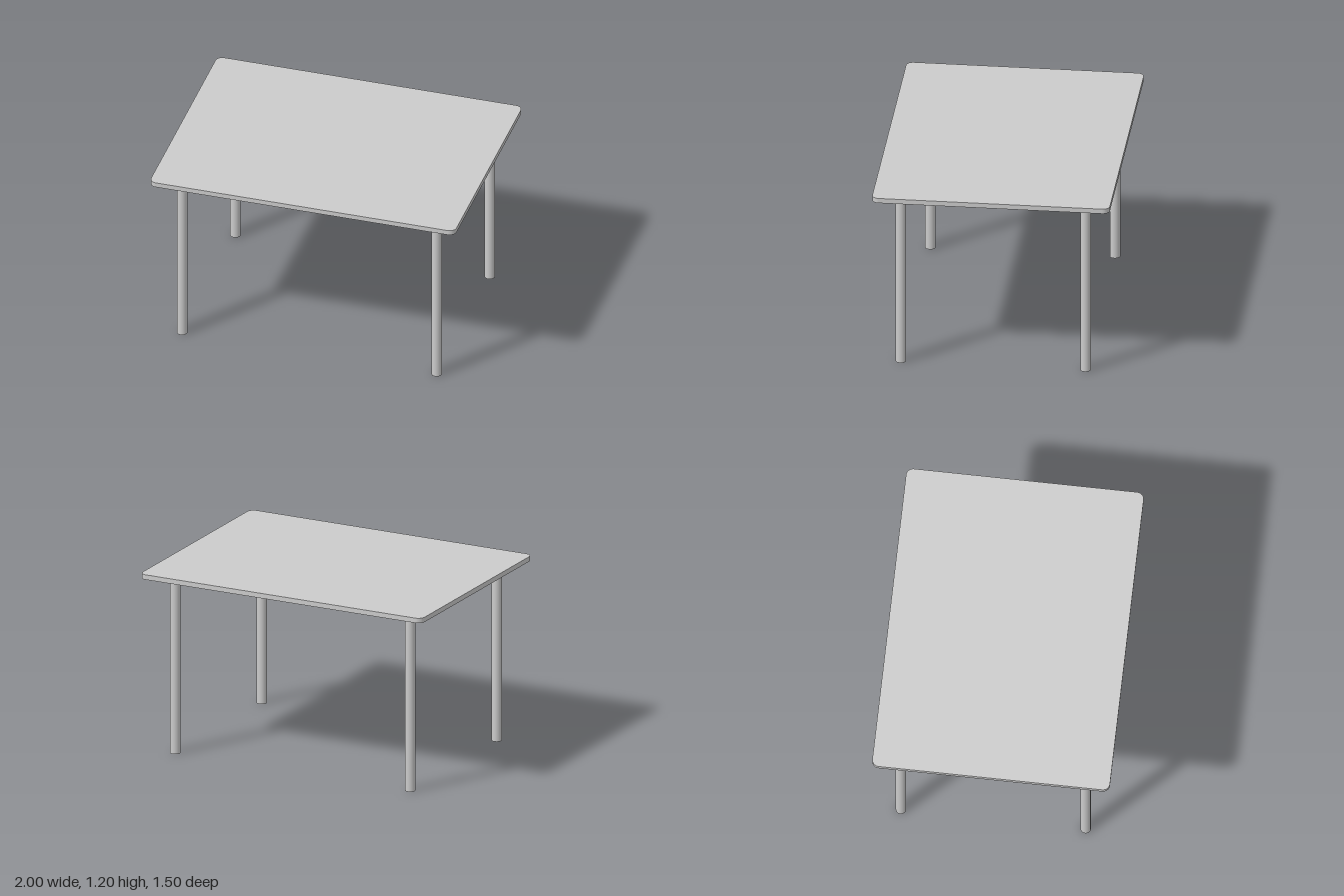
import * as THREE from 'three';

export function createModel() {
  const group = new THREE.Group();
  const material = new THREE.MeshStandardMaterial({ color: 0xcccccc });
  const height = 1.2, thickness = 0.032;
  const halfX = 1, halfZ = 0.75, corner = 0.045;

  // Table top: rounded rectangle, extruded and laid flat
  const outline = new THREE.Shape();
  outline.absarc(halfX - corner, halfZ - corner, corner, 0, Math.PI / 2);
  outline.absarc(-halfX + corner, halfZ - corner, corner, Math.PI / 2, Math.PI);
  outline.absarc(-halfX + corner, -halfZ + corner, corner, Math.PI, Math.PI * 1.5);
  outline.absarc(halfX - corner, -halfZ + corner, corner, Math.PI * 1.5, Math.PI * 2);
  outline.closePath();
  const topGeometry = new THREE.ExtrudeGeometry(outline, {
    depth: thickness, bevelEnabled: false, curveSegments: 12,
  });
  topGeometry.rotateX(-Math.PI / 2);
  const top = new THREE.Mesh(topGeometry, material);
  top.name = 'tableTop';
  top.position.y = height - thickness;
  group.add(top);

  // Four round legs, set in from the corners
  const legHeight = height - thickness;
  const legGeometry = new THREE.CylinderGeometry(0.033, 0.033, legHeight, 32);
  for (const [endName, sz] of [['front', 1], ['back', -1]]) {
    for (const [sideName, sx] of [['Left', 1], ['Right', -1]]) {
      const leg = new THREE.Mesh(legGeometry, material);
      leg.name = `${endName}${sideName}Leg`;
      leg.position.set(sx * 0.833, legHeight / 2, sz * 0.583);
      group.add(leg);
    }
  }
  return group;
}
